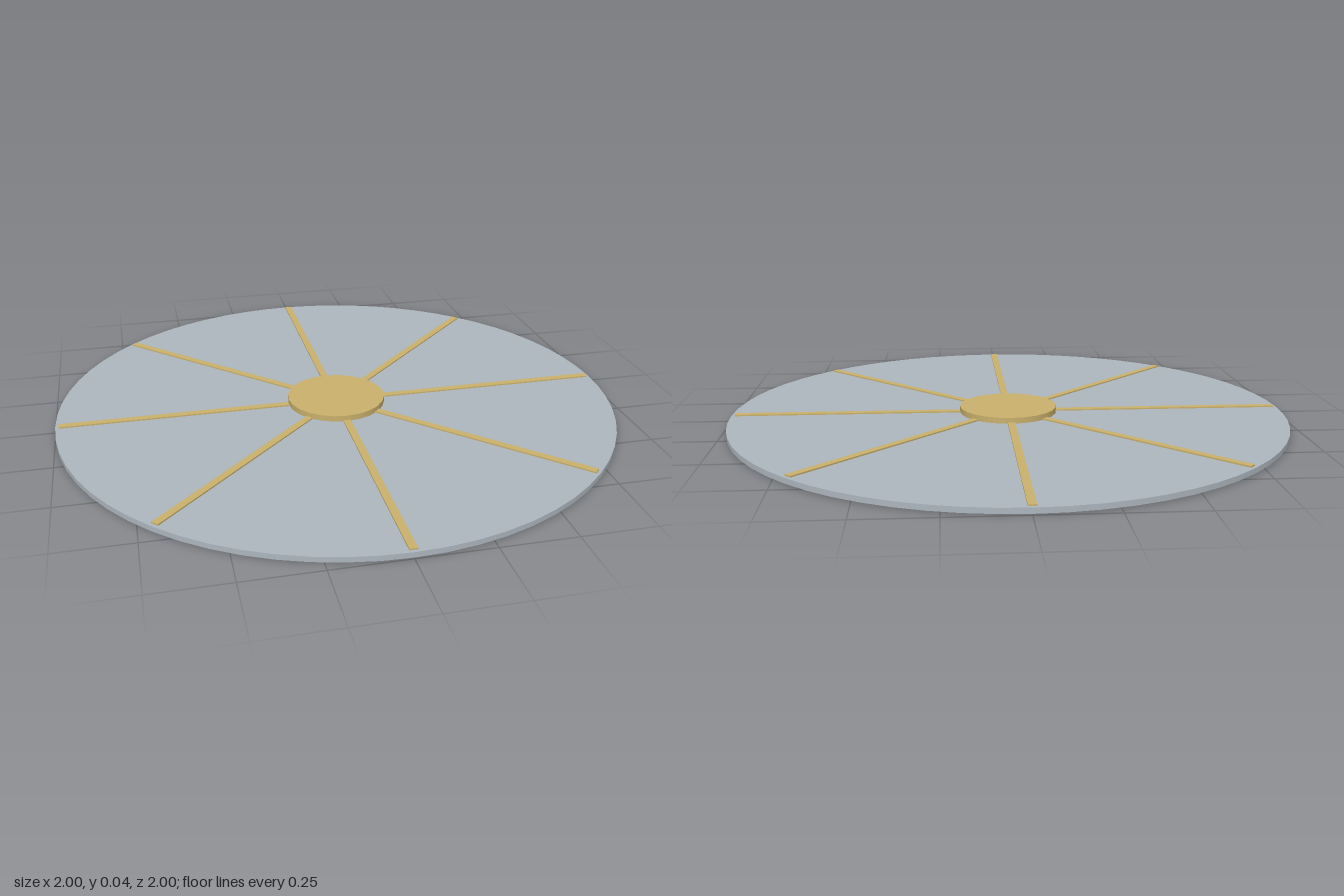
import * as THREE from 'three';

export function createModel() {
  const model = new THREE.Group();
  const grey = new THREE.MeshStandardMaterial({ color: 0xadb6be });
  grey.name = 'paleGrey';
  const gold = new THREE.MeshStandardMaterial({ color: 0xc9b06c });
  gold.name = 'gold';

  // Upright cylinder between two heights
  function cylinder(name, radius, bottom, top, sides, material) {
    const mesh = new THREE.Mesh(
      new THREE.CylinderGeometry(radius, radius, top - bottom, sides), material);
    mesh.name = name;
    mesh.position.y = (bottom + top) / 2;
    model.add(mesh);
  }

  // Thin round plate
  cylinder('disc', 1, 0.004, 0.022, 64, grey);

  // Raised hub, with a smaller boss showing underneath
  cylinder('hub', 0.176, 0.02, 0.043, 24, gold);
  cylinder('hubUnderside', 0.155, 0, 0.021, 24, gold);

  // Eight ribs running through the plate from hub to rim
  const inner = 0.12, outer = 0.988, bottom = 0.003, top = 0.027;
  const ribGeometry = new THREE.BoxGeometry(outer - inner, top - bottom, 0.026);
  ribGeometry.translate((inner + outer) / 2, (bottom + top) / 2, 0);
  for (let i = 0; i < 8; i++) {
    const rib = new THREE.Mesh(ribGeometry, gold);
    rib.name = `rib${i + 1}`;
    rib.rotation.y = i * Math.PI / 4;
    model.add(rib);
  }
  return model;
}
